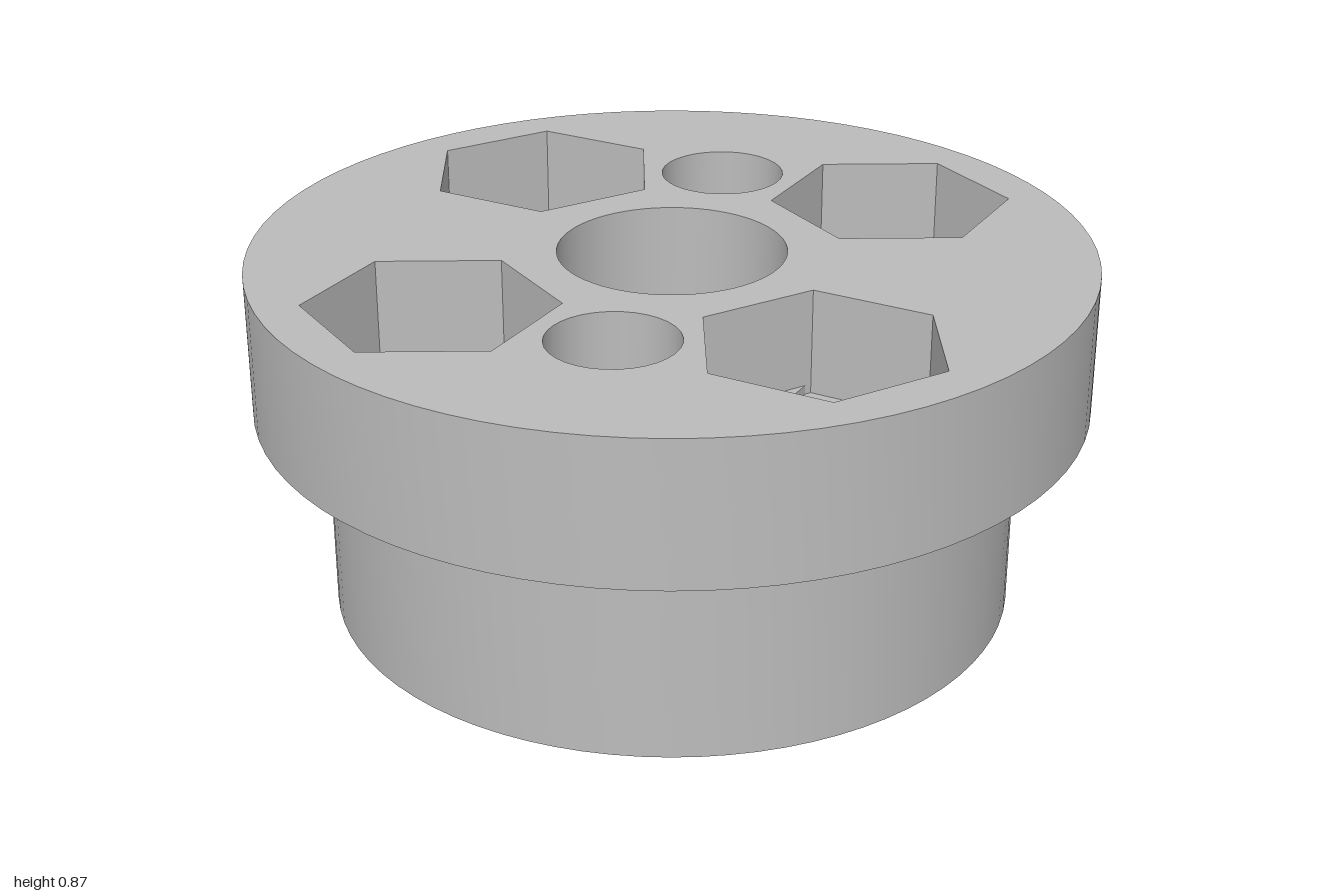
import * as THREE from 'three';
import { mergeGeometries, toCreasedNormals } from 'three/addons/utils/BufferGeometryUtils.js';

// Heights and radii
const TOP = 0.87, FLANGE = 0.52, RING = 0.49;
const HOLE = 0.153, HALF = 0.155, INR = 0.2545, HEX_R = INR / Math.cos(Math.PI / 6);
const STEP = 0.022;

// Loops are lists of [x, z] points in order of rising angle
const ngon = (cx, cz, r, n, turn = 0) => Array.from({ length: n }, (_, i) => {
  const a = turn + (i / n) * Math.PI * 2;
  return [cx + r * Math.cos(a), cz + r * Math.sin(a)];
});
const circle = (r, n = 64) => ngon(0, 0, r, n);

// Flat horizontal face with holes, looking up or down
function face(loop, holes, y, up) {
  const toV = (l) => l.map(([x, z]) => new THREE.Vector2(x, z));
  const shape = new THREE.Shape(toV(loop));
  shape.holes = holes.map((h) => new THREE.Path(toV(h)));
  const g = new THREE.ShapeGeometry(shape);
  if (up) {
    const ix = g.index.array;
    for (let i = 0; i < ix.length; i += 3) [ix[i], ix[i + 1]] = [ix[i + 1], ix[i]];
  }
  g.rotateX(Math.PI / 2).translate(0, y, 0);
  return clean(g.toNonIndexed());
}

// Wall between two loops of equal length; it looks inward unless outward is set
function wall(low, y0, high, y1, outward = false) {
  const pos = [];
  low.forEach((p, i) => {
    const j = (i + 1) % low.length;
    const a = [p[0], y0, p[1]], b = [low[j][0], y0, low[j][1]];
    const c = [high[j][0], y1, high[j][1]], d = [high[i][0], y1, high[i][1]];
    const tris = outward ? [a, c, b, a, d, c] : [a, b, c, a, c, d];
    tris.forEach((v) => pos.push(...v));
  });
  const g = new THREE.BufferGeometry();
  g.setAttribute('position', new THREE.Float32BufferAttribute(pos, 3));
  return g;
}

function clean(g) {
  g.deleteAttribute('uv');
  g.deleteAttribute('normal');
  return g;
}

// Straight wall between two heights in either order
const shaft = (loop, ya, yb, outward) =>
  wall(loop, Math.min(ya, yb), loop, Math.max(ya, yb), outward);

// Hexagonal nut pocket with a slot step, a square step and a round through hole
function nutPocket(cx, cz, slotAngle, yOpen, depth, yFar) {
  const dir = yFar < yOpen ? -1 : 1, up = dir < 0;
  const c = Math.cos(slotAngle), s = Math.sin(slotAngle);
  const place = (l) => l.map(([u, v]) => [cx + u * c - v * s, cz + u * s + v * c]);
  const y1 = yOpen + dir * depth, y2 = y1 + dir * STEP, y3 = y2 + dir * STEP;
  const e = (INR - HALF * Math.cos(Math.PI / 6)) * 2, k = HEX_R / 2;
  const hex = place(ngon(0, 0, HEX_R, 6, Math.PI / 6));
  const slot = place([[INR, -k], [INR, k], [e, HALF], [-e, HALF],
    [-INR, k], [-INR, -k], [-e, -HALF], [e, -HALF]]);
  const square = place([[HALF, -HALF], [HALF, HALF], [-HALF, HALF], [-HALF, -HALF]]);
  const hole = place(ngon(0, 0, HOLE, 32));
  const parts = [shaft(hex, yOpen, y1), shaft(slot, y1, y2), shaft(square, y2, y3),
    shaft(hole, y3, yFar), face(square, [hole], y3, up)];
  for (const m of [1, -1]) {
    parts.push(face(place([[-e * m, HALF * m], [e * m, HALF * m], [0, HEX_R * m]]), [], y1, up));
    parts.push(face(place([[HALF * m, -HALF * m], [e * m, -HALF * m], [INR * m, -k * m],
      [INR * m, k * m], [e * m, HALF * m], [HALF * m, HALF * m]]), [], y2, up));
  }
  return { parts, hex, hole };
}

export function createModel() {
  const grey = new THREE.MeshStandardMaterial({ color: 0xbcbcbc });
  grey.name = 'light grey';
  const model = new THREE.Group();
  model.name = 'hub';
  const add = (name, parts) => {
    const mesh = new THREE.Mesh(toCreasedNormals(mergeGeometries(parts), 0.45), grey);
    mesh.name = name;
    model.add(mesh);
  };

  // Four pockets open at the top, two open at the bottom
  const upper = [0, 1, 2, 3].map((i) => {
    const a = i * Math.PI / 2;
    return nutPocket(0.63 * Math.cos(a), 0.63 * Math.sin(a), a + Math.PI / 3, TOP, 0.235, 0);
  });
  const lower = [1, -1].map((m) =>
    nutPocket(0.378 * m, -0.378 * m, -Math.PI / 4 + Math.PI / 3, 0, 0.28, TOP));
  upper.forEach((p) => add('upperNutPocket', p.parts));
  lower.forEach((p) => add('lowerNutPocket', p.parts));

  // Centre bore: wide above and below a thin web with a small hole
  const topBore = circle(0.272), lowBore = circle(0.25), chamfer = circle(0.277);
  const axle = circle(0.127), webTop = 0.48, webLow = 0.38;
  add('centreBore', [
    shaft(topBore, webTop, TOP), face(topBore, [axle], webTop, true),
    shaft(axle, webLow, webTop), face(lowBore, [axle], webLow, false),
    shaft(lowBore, 0.04, webLow), wall(chamfer, 0, lowBore, 0.04),
  ]);

  // Outer shell: flange, thin ring and body
  const flange = circle(1, 80), ring = circle(0.923, 80), body = circle(0.83, 80);
  add('flange', [
    face(flange, [topBore, ...upper.map((p) => p.hex), ...lower.map((p) => p.hole)], TOP, true),
    shaft(flange, FLANGE, TOP, true), face(flange, [ring], FLANGE, false),
  ]);
  add('steppedRing', [shaft(ring, RING, FLANGE, true), face(ring, [body], RING, false)]);
  add('body', [
    shaft(body, 0, RING, true),
    face(body, [chamfer, ...upper.map((p) => p.hole), ...lower.map((p) => p.hex)], 0, false),
  ]);
  return model;
}
